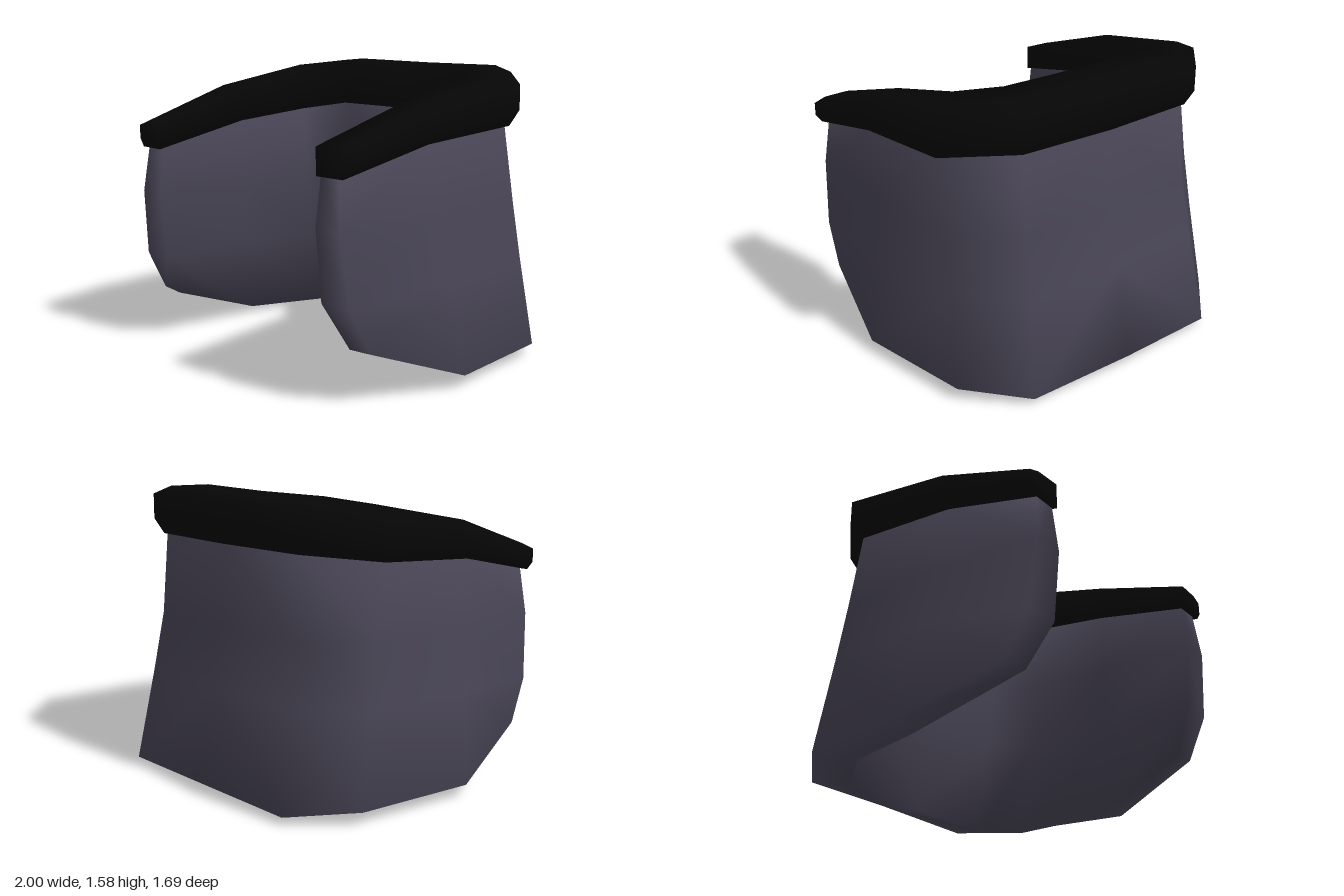
import * as THREE from 'three';

// Skin a row of closed sections (each running outer top -> outer bottom -> inner bottom -> inner top)
function loft(half) {
  // half runs from the left tip to the back centre; mirror it to the right tip
  const mirrored = half.slice(0, -1).reverse().map(s => s.map(([x, y, z]) => [-x, y, z]));
  const sections = [...half, ...mirrored];
  const n = half[0].length;
  const last = (sections.length - 1) * n;
  const middle = half.length - 1;
  const index = [];
  for (let s = 0; s < sections.length - 1; s++) {
    for (let i = 0; i < n; i++) {
      const a = s * n + i, b = s * n + (i + 1) % n;
      // flip the diagonal past the centre so both sides match
      if (s < middle) index.push(a, b, a + n, b, b + n, a + n);
      else index.push(a, b, b + n, a, b + n, a + n);
    }
  }
  // end faces at both tips
  for (let i = 0; i < n / 2 - 1; i++) {
    const o = i, p = i + 1, q = n - 1 - i, r = n - 2 - i;
    index.push(o, q, p, p, q, r);
    index.push(last + o, last + p, last + q, last + p, last + r, last + q);
  }
  const geometry = new THREE.BufferGeometry();
  geometry.setAttribute('position', new THREE.Float32BufferAttribute(sections.flat(2), 3));
  geometry.setIndex(index);
  geometry.computeVertexNormals();
  return geometry;
}

// Bevelled rim section between an outer and an inner plan point
function rimSection([xo, zo], [xi, zi], bottom, top) {
  const h = top - bottom;
  const at = (f, y) => [xi + (xo - xi) * f, y, zi + (zo - zi) * f];
  return [
    at(0.68, top), at(1, top - 0.15 * h), at(1, bottom + 0.33 * h),
    at(0.83, bottom), at(0, bottom), at(0, top),
  ];
}

export function createModel() {
  const cloth = new THREE.MeshStandardMaterial({ color: 0x494556 });
  cloth.name = 'dark violet grey';
  const trim = new THREE.MeshStandardMaterial({ color: 0x060606 });
  trim.name = 'black trim';

  // Flared wall: four outer points going down, four inner points going up
  const wallSections = [
    // front tip
    [[0.80, 1.14, 0.815], [0.83, 0.87, 0.845], [0.86, 0.50, 0.81], [0.88, 0.27, 0.69],
      [0.73, 0.26, 0.69], [0.66, 0.50, 0.81], [0.66, 0.87, 0.845], [0.67, 1.14, 0.815]],
    // side
    [[0.83, 1.27, 0.27], [0.87, 0.88, 0.24], [0.94, 0.55, 0.20], [1.00, 0.07, 0.15],
      [0.84, 0.04, 0.08], [0.71, 0.50, 0.22], [0.68, 0.88, 0.25], [0.69, 1.27, 0.26]],
    // back corner
    [[0.83, 1.31, -0.315], [0.85, 0.88, -0.38], [0.87, 0.56, -0.43], [0.90, 0.07, -0.52],
      [0.77, 0.01, -0.42], [0.65, 0.50, -0.25], [0.62, 0.88, -0.21], [0.665, 1.31, -0.215]],
    // back shoulder
    [[0.545, 1.345, -0.61], [0.55, 0.88, -0.65], [0.57, 0.56, -0.71], [0.62, 0.04, -0.805],
      [0.56, 0.00, -0.59], [0.49, 0.50, -0.46], [0.475, 0.88, -0.41], [0.485, 1.345, -0.41]],
    // back centre
    [[0, 1.345, -0.64], [0, 0.88, -0.67], [0, 0.56, -0.735], [0, 0.065, -0.845],
      [0, 0.005, -0.60], [0, 0.50, -0.47], [0, 0.88, -0.41], [0, 1.345, -0.41]],
  ];

  // Thick rim along the top edge, rising towards the back
  const rimSections = [
    rimSection([0.875, 0.83], [0.66, 0.84], 1.12, 1.26),
    rimSection([0.895, 0.29], [0.675, 0.26], 1.24, 1.44),
    rimSection([0.895, -0.36], [0.645, -0.19], 1.285, 1.54),
    rimSection([0.57, -0.68], [0.47, -0.38], 1.32, 1.58),
    rimSection([0, -0.71], [0, -0.385], 1.32, 1.575),
  ];

  const wall = new THREE.Mesh(loft(wallSections), cloth);
  wall.name = 'flaredWall';
  const rim = new THREE.Mesh(loft(rimSections), trim);
  rim.name = 'topRim';

  const model = new THREE.Group();
  model.name = 'openFrontCollar';
  model.add(wall, rim);
  return model;
}
